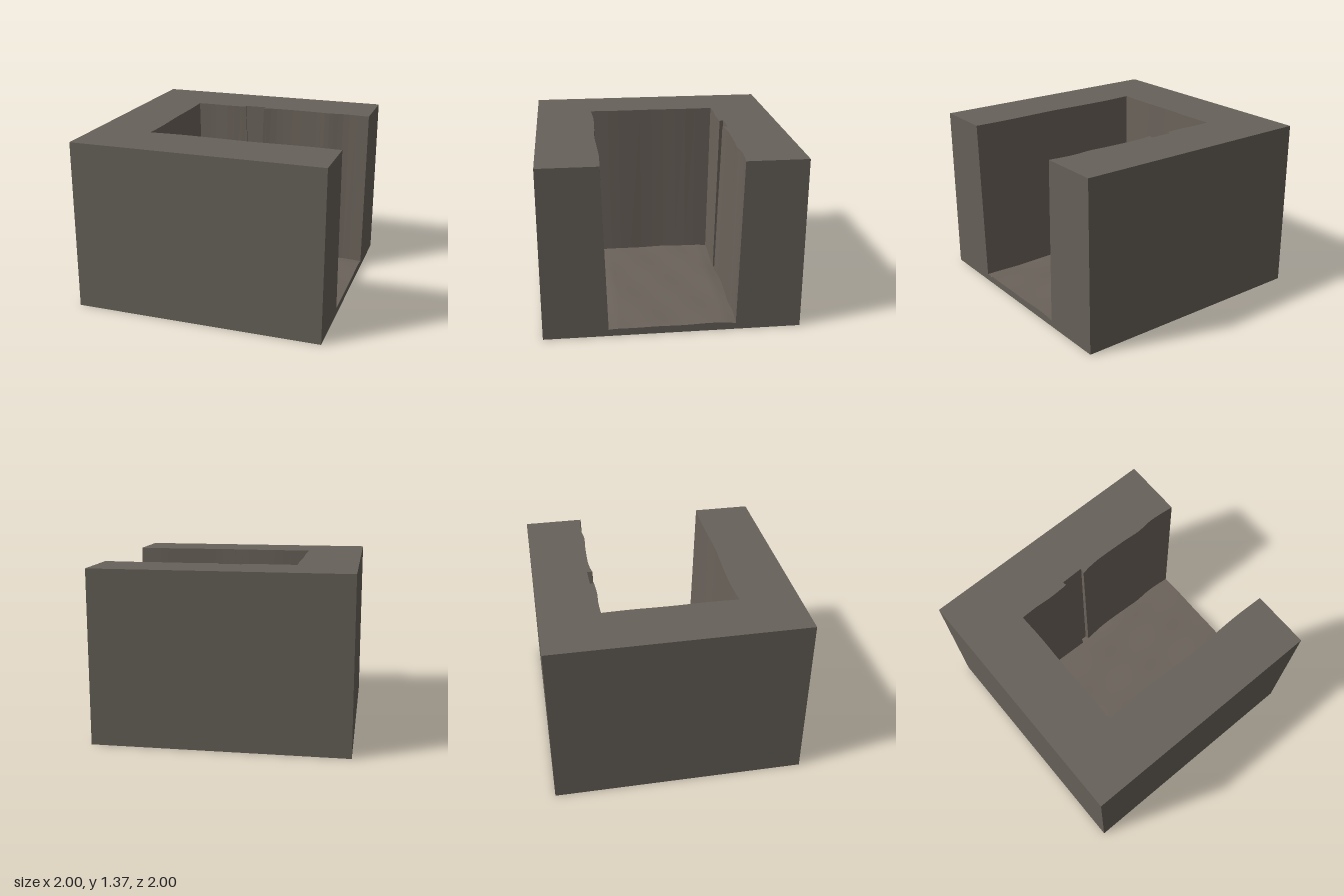
import * as THREE from 'three';

const H = 1.37;
const stone = new THREE.MeshStandardMaterial({ color: 0x666159 });
stone.name = 'stone';
const rock = new THREE.MeshStandardMaterial({ color: 0x6a625a });
rock.name = 'carved rock';

// gentle unevenness of the pocket floor, falling away beside the walls
function floorY(x, z) {
  const edge = Math.max(0, Math.abs(z) - 0.42) * 0.12;
  return 0.06 + 0.004 * Math.sin(x * 9 + z * 4) * Math.cos(z * 11 - x * 3) - edge;
}

// smooth wavy line through [x, z] points
function wavy(points, n) {
  return new THREE.SplineCurve(points.map(p => new THREE.Vector2(...p))).getPoints(n);
}

// sides of the pocket: outline at the rim and narrower outline at the foot
function outlines() {
  const frontRim = wavy([[1, 0.535], [0.75, 0.528], [0.5, 0.534], [0.25, 0.54], [0, 0.53], [-0.3, 0.525], [-0.537, 0.538]], 24);
  const frontFoot = wavy([[1, 0.498], [0.5, 0.5], [0, 0.502], [-0.505, 0.5]], 24);
  const endRim = wavy([[-0.537, 0.538], [-0.53, 0.3], [-0.535, 0], [-0.53, -0.3], [-0.535, -0.527]], 12);
  const endFoot = wavy([[-0.505, 0.5], [-0.5, 0.3], [-0.507, 0], [-0.498, -0.3], [-0.5, -0.5]], 12);
  const backRim1 = wavy([[-0.535, -0.527], [-0.4, -0.53], [-0.25, -0.523], [-0.1, -0.53]], 8);
  const backFoot1 = wavy([[-0.5, -0.5], [-0.4, -0.502], [-0.25, -0.495], [-0.03, -0.49]], 8);
  // upright groove in the back wall
  const grooveRim = [[-0.107, -0.562], [0.08, -0.565]].map(p => new THREE.Vector2(...p));
  const grooveFoot = [[-0.035, -0.525], [0.03, -0.525]].map(p => new THREE.Vector2(...p));
  const backRim2 = wavy([[0.07, -0.522], [0.22, -0.541], [0.5, -0.535], [0.65, -0.526], [0.8, -0.539], [1, -0.522]], 18);
  const backFoot2 = wavy([[0.035, -0.49], [0.22, -0.508], [0.5, -0.5], [0.65, -0.495], [0.8, -0.504], [1, -0.49]], 18);
  return {
    rim: [...frontRim, ...endRim.slice(1), ...backRim1.slice(1), ...grooveRim, ...backRim2],
    foot: [...frontFoot, ...endFoot.slice(1), ...backFoot1.slice(1), ...grooveFoot, ...backFoot2],
  };
}

function wallGeometry(rim, foot) {
  const pos = [];
  const low = p => [p.x, floorY(p.x, p.y), p.y];
  const high = p => [p.x, H, p.y];
  for (let i = 0; i < rim.length - 1; i++) {
    const a = low(foot[i]), b = low(foot[i + 1]), c = high(rim[i + 1]), d = high(rim[i]);
    pos.push(...a, ...b, ...c, ...a, ...c, ...d);
  }
  const g = new THREE.BufferGeometry();
  g.setAttribute('position', new THREE.Float32BufferAttribute(pos, 3));
  g.computeVertexNormals();
  return g;
}

export function createModel() {
  const group = new THREE.Group();
  const add = (name, geometry, material) => {
    const mesh = new THREE.Mesh(geometry, material);
    mesh.name = name;
    group.add(mesh);
  };
  const { rim, foot } = outlines();

  // flat outer faces of the block
  add('frontFace', new THREE.PlaneGeometry(2, H).translate(0, H / 2, 1), stone);
  add('backFace', new THREE.PlaneGeometry(2, H).rotateY(Math.PI).translate(0, H / 2, -1), stone);
  add('closedSide', new THREE.PlaneGeometry(2, H).rotateY(-Math.PI / 2).translate(-1, H / 2, 0), stone);
  add('underside', new THREE.PlaneGeometry(2, 2).rotateX(Math.PI / 2), stone);

  // top face around the pocket rim
  const top = new THREE.Shape([
    ...rim.map(p => new THREE.Vector2(p.x, -p.y)),
    ...[[1, 1], [-1, 1], [-1, -1], [1, -1]].map(p => new THREE.Vector2(...p)),
  ]);
  add('topFace', new THREE.ShapeGeometry(top).rotateX(-Math.PI / 2).translate(0, H, 0), stone);

  // open side, cut out where the pocket breaks through
  const z0 = foot[0].y, z1 = foot[foot.length - 1].y;
  const sill = [];
  for (let i = 0; i <= 24; i++) {
    const z = THREE.MathUtils.lerp(z0, z1, i / 24);
    sill.push([-z, floorY(1, z)]);
  }
  const end = new THREE.Shape([
    [-1, 0], [1, 0], [1, H], [-rim[rim.length - 1].y, H],
    ...sill.reverse(), [-rim[0].y, H], [-1, H],
  ].map(p => new THREE.Vector2(...p)));
  add('openSide', new THREE.ShapeGeometry(end).rotateY(Math.PI / 2).translate(1, 0, 0), stone);

  // pocket walls and floor
  add('pocketWalls', wallGeometry(rim, foot), rock);
  const floor = new THREE.PlaneGeometry(1.53, 1.08, 36, 36).rotateX(-Math.PI / 2).translate(0.235, 0, 0);
  const p = floor.attributes.position;
  for (let i = 0; i < p.count; i++) p.setY(i, floorY(p.getX(i), p.getZ(i)));
  floor.computeVertexNormals();
  add('pocketFloor', floor, rock);

  return group;
}
